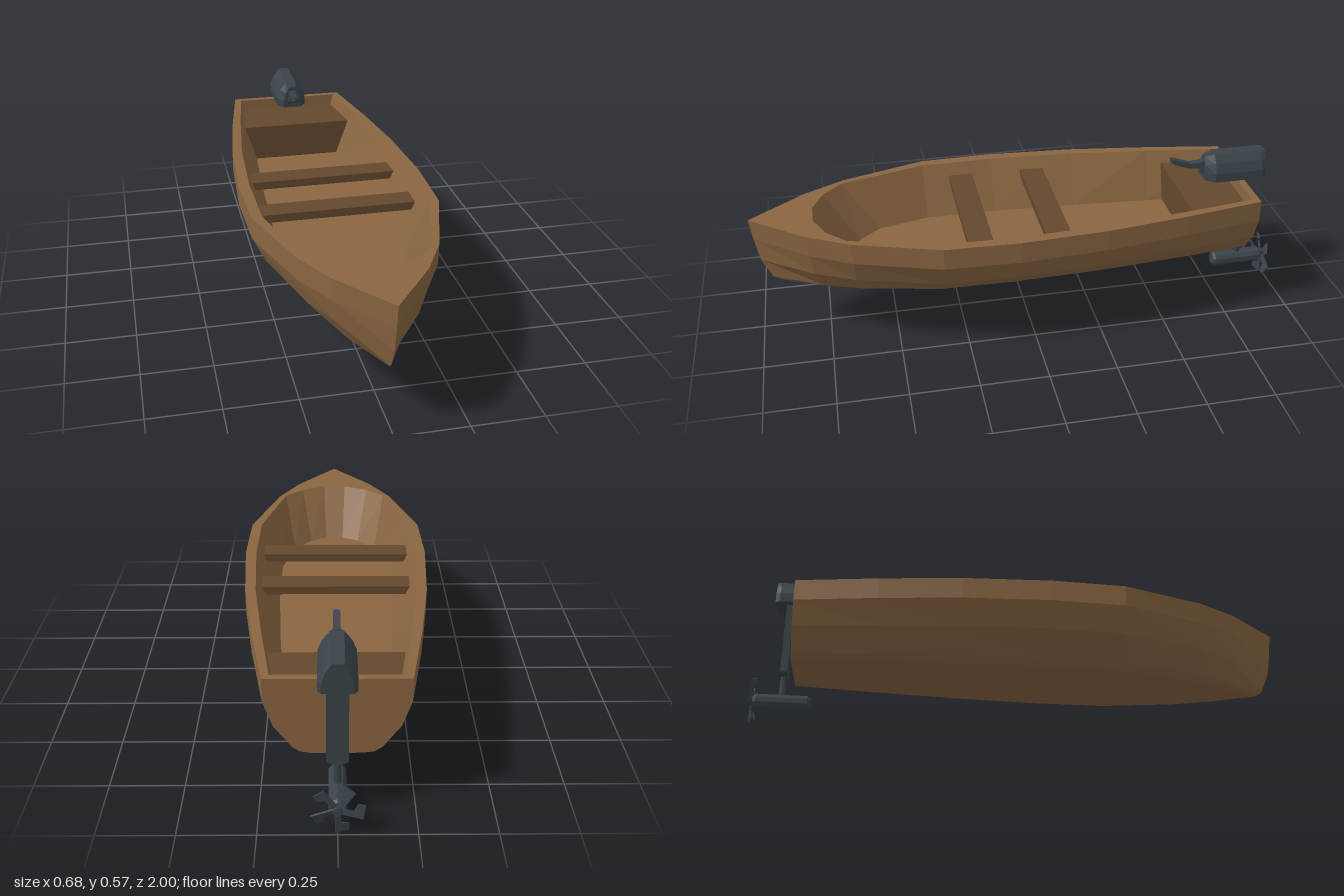
import * as THREE from 'three';

const mat = (name, color) => {
  const m = new THREE.MeshStandardMaterial({ color });
  m.name = name;
  return m;
};

// Collects flat-shaded polygons, given counterclockwise
function polyBuilder() {
  const pos = [];
  const same = (a, b) => a.every((v, i) => Math.abs(v - b[i]) < 1e-6);
  const face = (...p) => {
    for (let i = 1; i < p.length - 1; i++) {
      const [a, b, c] = [p[0], p[i], p[i + 1]];
      if (!same(a, b) && !same(b, c) && !same(a, c)) pos.push(...a, ...b, ...c);
    }
  };
  const build = () => {
    const g = new THREE.BufferGeometry();
    g.setAttribute('position', new THREE.Float32BufferAttribute(pos, 3));
    g.computeVertexNormals();
    return g;
  };
  return { face, build };
}

// Closed body through rings (counterclockwise seen from +z), ordered from -z to +z
function loft(rings) {
  const { face, build } = polyBuilder();
  const n = rings[0].length;
  for (let s = 0; s < rings.length - 1; s++)
    for (let i = 0; i < n; i++) {
      const j = (i + 1) % n;
      face(rings[s][i], rings[s][j], rings[s + 1][j], rings[s + 1][i]);
    }
  face(...[...rings[0]].reverse());
  face(...rings[rings.length - 1]);
  return build();
}

const rect = (w, y0, y1, z, wTop = w) => [[-w, y0, z], [w, y0, z], [wTop, y1, z], [-wTop, y1, z]];

function hullGeometry() {
  const { face, build } = polyBuilder();
  const top = 0.47, floorY = 0.28;
  // Stations: outer z, half-width | inner rim z, half-width | floor z, half-width
  const stations = [
    [-0.85, 0.23, -0.825, 0.208, -0.825, 0.155],
    [-0.55, 0.28, -0.55, 0.247, -0.55, 0.18],
    [-0.25, 0.32, -0.25, 0.283, -0.25, 0.2],
    [0.07, 0.34, 0.07, 0.3, 0.07, 0.215],
    [0.34, 0.332, 0.34, 0.295, 0.34, 0.215],
    [0.65, 0.235, 0.66, 0.208, 0.53, 0.168],
    [0.8, 0.155, 0.73, 0.138, 0.61, 0.1],
    [1.0, 0, 0.772, 0.045, 0.645, 0.035],
  ];
  // Levels: height, width factor, z of the stem
  const levels = [
    [top, 1, 1], [0.39, 1, 0.99], [0.3, 0.865, 0.975],
    [0.222, 0.61, 0.94], [0.206, 0.51, 0.915], [0.2, 0.36, 0.89],
  ];
  const outer = stations.map(([z, w]) => {
    const side = levels.map(([y, f, stem]) => [
      w * f, y, z > 0.34 ? 0.34 + (z - 0.34) * (stem - 0.34) / 0.66 : z,
    ]);
    return [...side.map(([x, y, zz]) => [-x, y, zz]), ...[...side].reverse()];
  });
  const inner = stations.map(([, , zr, wr, zf, wf]) =>
    [[-wr, top, zr], [-wf, floorY, zf], [wf, floorY, zf], [wr, top, zr]]);
  const oEnd = outer[0].length - 1, last = stations.length - 1;
  for (let s = 0; s < last; s++) {
    const [a, b, c, d] = [outer[s], outer[s + 1], inner[s], inner[s + 1]];
    for (let i = 0; i < oEnd; i++) face(a[i], a[i + 1], b[i + 1], b[i]);
    for (let i = 0; i < 3; i++) face(c[i], d[i], d[i + 1], c[i + 1]);
    // gunwale
    face(c[3], d[3], b[oEnd], a[oEnd]);
    face(a[0], b[0], d[0], c[0]);
  }
  // transom, both sides, and its top edge
  face(...[...outer[0]].reverse());
  face(...inner[0]);
  face(outer[0][0], inner[0][0], inner[0][3], outer[0][oEnd]);
  // inner bow wall and bow deck
  face(...[...inner[last]].reverse());
  face(inner[last][0], outer[last][0], inner[last][3]);
  return build();
}

export function createModel() {
  const model = new THREE.Group();
  model.name = 'motorboat';
  const wood = mat('hull wood', 0x8a6642);
  const darkWood = mat('seat wood', 0x63482d);
  const metal = mat('motor grey', 0x3a4349);

  const add = (name, geometry, material, x = 0, y = 0, z = 0, parent = model) => {
    const m = new THREE.Mesh(geometry, material);
    m.name = name;
    m.position.set(x, y, z);
    parent.add(m);
    return m;
  };

  add('hull', hullGeometry(), wood);

  // Seats
  for (const [name, z, w] of [['rearThwart', -0.088, 0.275], ['frontThwart', 0.195, 0.281]])
    add(name, new THREE.BoxGeometry(w * 2, 0.03, 0.09), darkWood, 0, 0.409, z);
  add('sternBench', loft([
    rect(0.155, 0.281, 0.424, -0.824, 0.198),
    rect(0.18, 0.281, 0.424, -0.61, 0.226),
  ]), darkWood);

  const motor = new THREE.Group();
  motor.name = 'outboardMotor';
  model.add(motor);
  const part = (name, geo, x, y, z) => add(name, geo, metal, x, y, z, motor);

  // Cowl with a faceted top
  const cowlRing = (z, k, h) => {
    const half = [[0.061, 0], [0.061, 0.035], [0.046, 0.07], [0.022, 0.1]]
      .map(([x, y]) => [x * k, 0.471 + y * h, z]);
    return [...half, ...[...half].reverse().map(([x, y, zz]) => [-x, y, zz])];
  };
  part('cowl', loft([
    cowlRing(-0.937, 0.8, 1), cowlRing(-0.92, 1, 1),
    cowlRing(-0.735, 1, 1), cowlRing(-0.7, 0.6, 0.88),
  ]));

  // Tiller
  part('tillerMount', loft([rect(0.022, 0.472, 0.55, -0.72, 0.015), rect(0.019, 0.5, 0.54, -0.685, 0.013)]));
  part('tiller', loft([
    rect(0.016, 0.512, 0.538, -0.7), rect(0.012, 0.515, 0.535, -0.645),
    rect(0.012, 0.535, 0.556, -0.585), rect(0.009, 0.545, 0.559, -0.57),
  ]));

  // Leg, its tapered foot and the drive shaft
  part('leg', new THREE.BoxGeometry(0.07, 0.28, 0.026), 0, 0.335, -0.882);
  part('legFoot', loft([rect(0.012, 0.186, 0.196, -0.895, 0.035), rect(0.012, 0.186, 0.196, -0.869, 0.035)]));
  part('driveShaft', new THREE.CylinderGeometry(0.012, 0.012, 0.1, 8), 0, 0.145, -0.882);

  // Gearcase along z with chamfered ends
  const profile = [[0, -0.102], [0.023, -0.102], [0.03, -0.092], [0.03, 0.092], [0.023, 0.102], [0, 0.102]]
    .map(([r, y]) => new THREE.Vector2(r, y));
  const gearcase = new THREE.LatheGeometry(profile, 10).toNonIndexed();
  gearcase.computeVertexNormals();
  gearcase.rotateX(Math.PI / 2);
  part('gearcase', gearcase, 0, 0.085, -0.88);

  // Propeller with five hooked blades
  const propeller = new THREE.Group();
  propeller.name = 'propeller';
  propeller.position.set(0, 0.085, -0.984);
  motor.add(propeller);
  const hub = new THREE.CylinderGeometry(0.02, 0.016, 0.03, 10).toNonIndexed();
  hub.computeVertexNormals();
  hub.rotateX(Math.PI / 2);
  add('propellerHub', hub, metal, 0, 0, 0, propeller);
  const blade = new THREE.Shape([
    [-0.01, 0.01], [0.01, 0.01], [0.01, 0.05], [0.036, 0.056], [0.037, 0.08], [-0.007, 0.085],
  ].map(([x, y]) => new THREE.Vector2(x, y)));
  const bladeGeo = new THREE.ExtrudeGeometry(blade, { depth: 0.006, bevelEnabled: false });
  bladeGeo.translate(0, 0, -0.003);
  bladeGeo.rotateY(-0.3);
  for (let i = 0; i < 5; i++)
    add('blade', bladeGeo, metal, 0, 0, -0.004, propeller).rotation.z = Math.PI + i * Math.PI * 0.4;

  return model;
}
